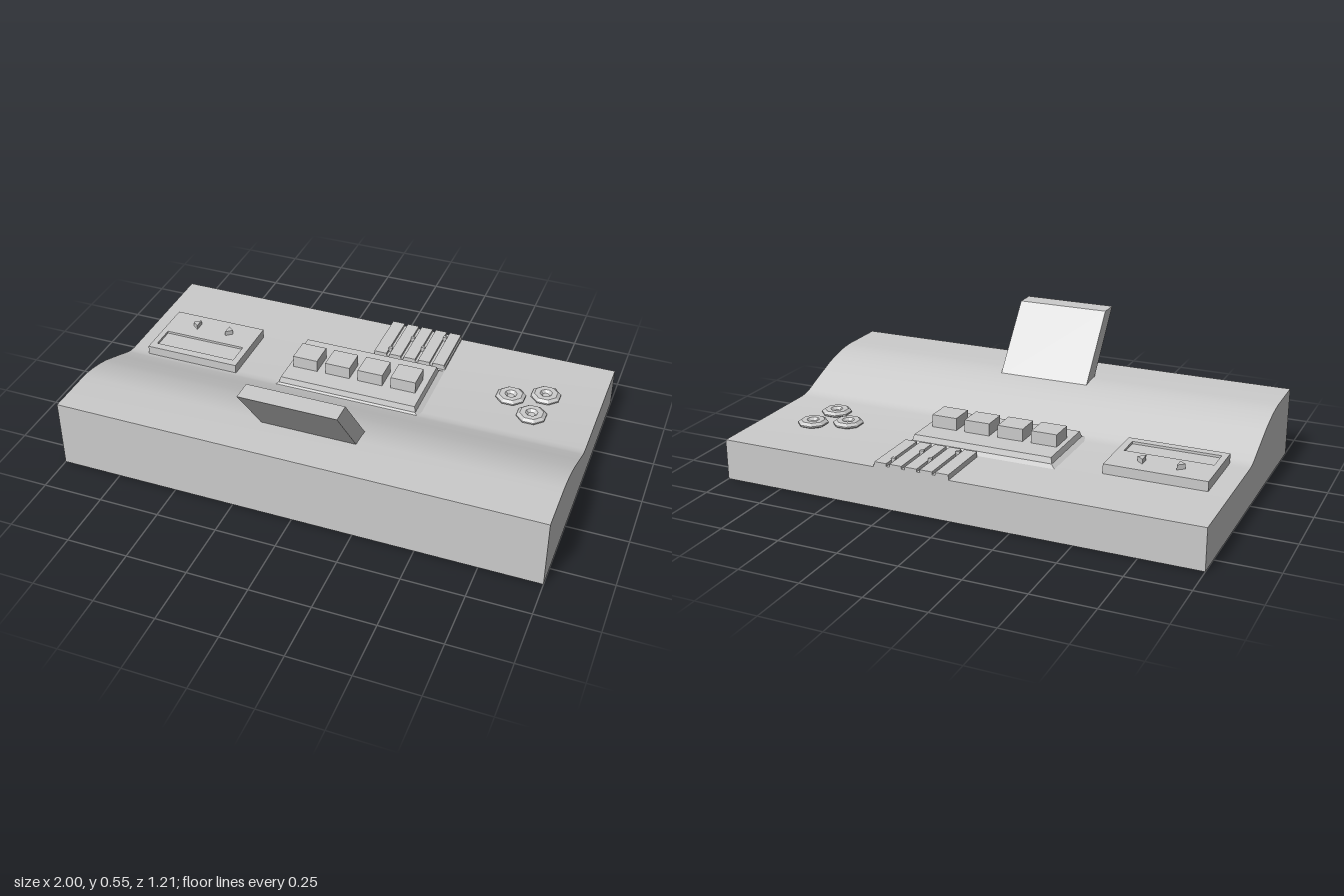
import * as THREE from 'three';
import { toCreasedNormals } from 'three/addons/utils/BufferGeometryUtils.js';

const FLOOR = 0.17;

export function createModel() {
  const model = new THREE.Group();
  const smooth = new THREE.MeshStandardMaterial({ color: 0xcccccc });
  const flat = new THREE.MeshStandardMaterial({ color: 0xcccccc, flatShading: true });

  const add = (name, geometry, material = flat) => {
    const mesh = new THREE.Mesh(geometry, material);
    mesh.name = name;
    model.add(mesh);
    return mesh;
  };
  // Box given by its limits on each axis
  const box = (name, x0, x1, y0, y1, z0, z1) =>
    add(name, new THREE.BoxGeometry(x1 - x0, y1 - y0, z1 - z0))
      .position.set((x0 + x1) / 2, (y0 + y1) / 2, (z0 + z1) / 2);
  const polygon = (points) => new THREE.Shape(points.map(([x, y]) => new THREE.Vector2(x, y)));
  // Side profile of [z, y] points, swept across x
  const sweepX = (points, width) =>
    new THREE.ExtrudeGeometry(polygon(points), { depth: width, bevelEnabled: false })
      .rotateY(-Math.PI / 2).translate(width / 2, 0, 0);
  // Plan outline of [x, -z] points, raised from y0 to y1
  const raise = (shape, y0, y1) =>
    new THREE.ExtrudeGeometry(shape, { depth: y1 - y0, bevelEnabled: false })
      .rotateX(-Math.PI / 2).translate(0, y0, 0);
  // Box whose top is inset on all four sides
  const taperedBox = (w, h, d, inset) => {
    const geometry = new THREE.BoxGeometry(w, h, d);
    const p = geometry.attributes.position;
    for (let i = 0; i < p.count; i++) {
      if (p.getY(i) > 0) {
        p.setX(i, p.getX(i) - Math.sign(p.getX(i)) * inset);
        p.setZ(i, p.getZ(i) - Math.sign(p.getZ(i)) * inset);
      }
    }
    return geometry;
  };

  // Desk body with a raised, curved front
  const bodyProfile = [
    [-0.6, 0], [0.59, 0], [0.59, 0.29], [0.385, 0.29], [0.345, 0.287], [0.3, 0.28],
    [0.25, 0.268], [0.2, 0.253], [0.1, 0.213], [0.02, 0.18], [0, 0.174], [-0.03, FLOOR], [-0.6, FLOOR],
  ];
  add('body', toCreasedNormals(sweepX(bodyProfile, 2), 0.5), smooth);

  // Leaning screen
  add('screen', sweepX([[0.3, 0.27], [0.39, 0.27], [0.605, 0.55], [0.52, 0.55]], 0.395));

  // Central button tray on a low skirt
  add('traySkirt', taperedBox(0.65, 0.012, 0.365, 0.022)).position.set(0, FLOOR + 0.004, -0.163);
  add('tray', taperedBox(0.61, 0.035, 0.32, 0.01)).position.set(0, 0.186, -0.163);
  for (let i = 0; i < 4; i++) {
    const x = -0.275 + i * 0.145;
    box('button', x, x + 0.108, 0.19, 0.255, -0.208, -0.102);
  }

  // Side panel with a shallow window and two arrow keys
  const panel = polygon([[-0.915, 0.01], [-0.503, 0.01], [-0.503, 0.305], [-0.915, 0.305]]);
  panel.holes.push(polygon([[-0.89, 0.045], [-0.89, 0.145], [-0.53, 0.145], [-0.53, 0.045]]));
  add('panelFrame', raise(panel, FLOOR, 0.21));
  box('panelWindow', -0.89, -0.53, FLOOR, 0.2, -0.145, -0.045);
  for (const side of [-1, 1]) {
    const arrow = polygon([[side * 0.015, 0.203], [side * 0.015, 0.248], [side * 0.042, 0.2255]].reverse());
    add('arrowKey', raise(arrow, 0.205, 0.23).translate(side < 0 ? -0.76 : -0.655, 0, 0));
  }

  // Fader bank: bars separated by slots, one slider in each slot
  box('faderBase', 0, 0.32, FLOOR, 0.18, -0.6, -0.35);
  const sliderZ = [-0.39, -0.498, -0.442, -0.551];
  for (let i = 0; i < 5; i++) {
    const x = i * 0.065;
    box('faderBar', x + (i ? 0.004 : 0), Math.min(x + 0.055, 0.32), 0.175, 0.192, -0.6, -0.35);
    if (i < 4) box('faderSlider', x + 0.054, x + 0.07, 0.178, 0.2, sliderZ[i] - 0.007, sliderZ[i] + 0.007);
  }

  // Three eight-sided dials with a dished centre
  const dialProfile = [[0.05, FLOOR], [0.063, 0.177], [0.063, 0.183], [0.049, 0.193], [0.026, 0.193], [0.015, 0.182], [0, 0.182]];
  const dial = new THREE.LatheGeometry(dialProfile.map(([r, y]) => new THREE.Vector2(r, y)), 8);
  for (const [x, z] of [[0.635, -0.255], [0.77, -0.31], [0.747, -0.16]]) {
    const mesh = add('dial', dial);
    mesh.position.set(x, 0, z);
    mesh.rotation.y = Math.PI / 8;
  }

  return model;
}
